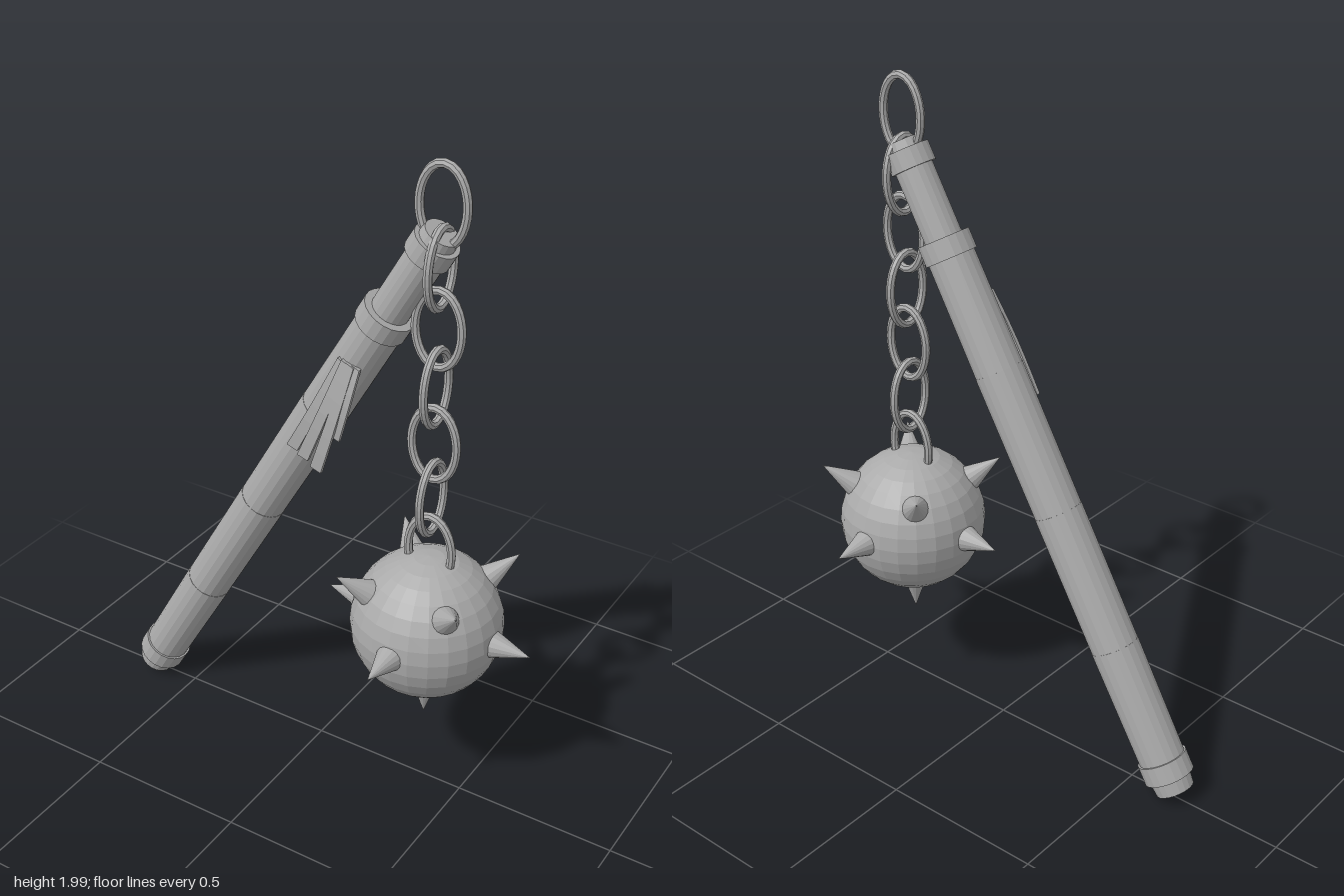
import * as THREE from 'three';

const metal = new THREE.MeshStandardMaterial({ color: 0xaaaaaa, flatShading: true });
metal.name = 'grey';

function part(name, geometry, parent) {
  const mesh = new THREE.Mesh(geometry, metal);
  mesh.name = name;
  parent.add(mesh);
  return mesh;
}

// Handle leaning 30 degrees, built along its own y axis
function makeHandle() {
  const handle = new THREE.Group();
  handle.name = 'handle';
  const sections = [
    // name, start, end, bottom radius, top radius
    ['buttCap', 0, 0.05, 0.058, 0.063],
    ['buttRing', 0.045, 0.105, 0.076, 0.076],
    ['gripSection', 0.1, 0.47, 0.07, 0.073],
    ['gripSection', 0.47, 0.9, 0.072, 0.073],
    ['gripSection', 0.9, 1.34, 0.072, 0.073],
    ['gripSection', 1.34, 1.69, 0.072, 0.07],
    ['collarRing', 1.685, 1.745, 0.078, 0.078],
    ['neck', 1.74, 1.96, 0.056, 0.056],
    ['topRing', 1.955, 2.012, 0.067, 0.067],
    ['topCap', 2.01, 2.038, 0.054, 0.05],
  ];
  for (const [name, a, b, r0, r1] of sections) {
    part(name, new THREE.CylinderGeometry(r1, r0, b - a, 20), handle).position.y = (a + b) / 2;
  }
  handle.rotation.z = -Math.PI / 6;
  handle.position.set(-0.654, 0.035, 0);
  return handle;
}

// Flat leather strip bending outward from top point to bottom point
function stripGeometry(top, bottom, width) {
  const g = new THREE.BoxGeometry(width, 1, 0.012, 1, 6, 1);
  const p = g.attributes.position;
  for (let i = 0; i < p.count; i++) {
    const t = 0.5 - p.getY(i);
    const bulge = Math.sin(t * Math.PI) * 0.012;
    p.setXYZ(i,
      THREE.MathUtils.lerp(top[0], bottom[0], t) + p.getX(i) * (0.75 + 0.35 * t) + bulge * 0.5,
      THREE.MathUtils.lerp(top[1], bottom[1], t) + p.getX(i) * -0.35,
      THREE.MathUtils.lerp(top[2], bottom[2], t) + p.getZ(i) + bulge);
  }
  g.computeVertexNormals();
  return g;
}

// Oval chain link standing in the xy plane
function linkGeometry() {
  const points = [];
  for (let i = 0; i < 24; i++) {
    const a = (i / 24) * Math.PI * 2;
    points.push(new THREE.Vector3(Math.cos(a) * 0.07, Math.sin(a) * 0.112, 0));
  }
  return new THREE.TubeGeometry(new THREE.CatmullRomCurve3(points, true), 28, 0.013, 8, true);
}

function makeBall() {
  const ball = new THREE.Group();
  ball.name = 'spikedBall';
  part('ball', new THREE.SphereGeometry(0.226, 24, 16), ball);
  const directions = [[1, 0, 0], [-1, 0, 0], [0, 0, 1], [0, 0, -1], [0, -1, 0],
    [1, 1, 1], [-1, 1, 1], [1, 1, -1], [-1, 1, -1]];
  const cone = new THREE.ConeGeometry(0.043, 0.125, 16);
  const up = new THREE.Vector3(0, 1, 0);
  for (const d of directions) {
    const dir = new THREE.Vector3(...d).normalize();
    const spike = part('spike', cone, ball);
    spike.position.copy(dir).multiplyScalar(0.273);
    spike.quaternion.setFromUnitVectors(up, dir);
  }
  ball.position.set(0.365, 0.585, 0);
  return ball;
}

export function createModel() {
  const model = new THREE.Group();
  model.name = 'flail';
  model.add(makeHandle(), makeBall());

  // Tassel strips fanning from the front of the handle
  const tassel = new THREE.Group();
  tassel.name = 'tassel';
  const strips = [
    [[0.11, 1.395, 0.068], [-0.032, 1.095, 0.1]],
    [[0.125, 1.395, 0.073], [0.005, 1.075, 0.104]],
    [[0.14, 1.39, 0.073], [0.05, 1.05, 0.106]],
    [[0.155, 1.385, 0.068], [0.1, 1.16, 0.09]],
  ];
  for (const [top, bottom] of strips) part('strip', stripGeometry(top, bottom, 0.032), tassel);
  model.add(tassel);

  // Chain of links, each turned a quarter from the last
  const chain = new THREE.Group();
  chain.name = 'chain';
  const link = linkGeometry();
  for (let i = 0; i < 7; i++) {
    const mesh = part('link', link, chain);
    mesh.position.set(0.365, 1.875 - i * 0.174, 0);
    mesh.rotation.y = (i % 2) * Math.PI / 2;
  }
  model.add(chain);
  return model;
}
